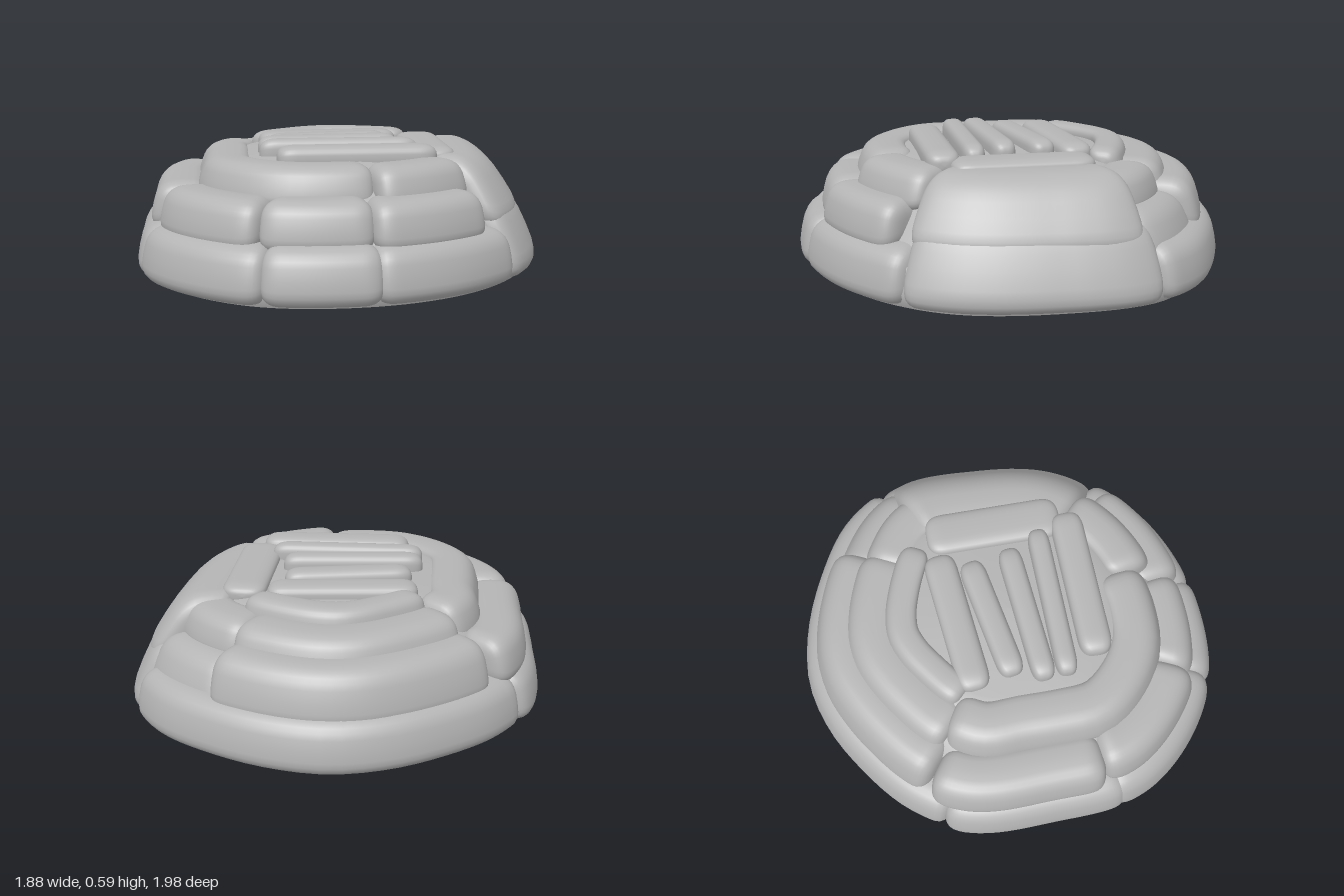
import * as THREE from 'three';

const stone = new THREE.MeshStandardMaterial({ color: 0xb4b4b4 });
stone.name = 'grey';

// Ground outline: radius every 30 degrees, from the front (+z) round by +x
const radii = [0.985, 0.94, 0.93, 0.94, 0.94, 1.03, 0.985, 0.985, 0.94, 0.95, 0.9, 0.98];
const outline = new THREE.CatmullRomCurve3(radii.map((r, i) => {
  const a = i * Math.PI / 6;
  return new THREE.Vector3(Math.sin(a) * r, 0, Math.cos(a) * r);
}), true, 'catmullrom');

// Skin a list of closed rings (arrays of [x, y, z]) into one smooth surface
function skin(rings) {
  const n = rings[0].length, index = [];
  for (let i = 0; i < rings.length - 1; i++) {
    for (let j = 0; j < n; j++) {
      const k = (j + 1) % n;
      const a = i * n + j, b = i * n + k, c = a + n, d = b + n;
      index.push(a, b, c, b, d, c);
    }
  }
  const g = new THREE.BufferGeometry();
  g.setAttribute('position', new THREE.Float32BufferAttribute(rings.flat(2), 3));
  g.setIndex(index);
  g.computeVertexNormals();
  return g;
}

// Path that follows the outline between two angles, set in from it
function arc(from, to, inset) {
  const points = [];
  for (let i = 0; i <= 8; i++) {
    const turn = (from + (to - from) * i / 8) / 360;
    const p = outline.getPoint((turn + 1) % 1);
    points.push(p.setLength(p.length() - inset));
  }
  return new THREE.CatmullRomCurve3(points);
}

// Pillow-like bag swept along a path; lean tips its top towards the middle
function bag(curve, y0, y1, width, lean) {
  const length = curve.getLength(), rows = 40, sides = 28;
  const endLength = Math.min(0.1, length * 0.3), mid = (y0 + y1) / 2, half = (y1 - y0) / 2;
  const soft = v => Math.sign(v) * Math.pow(Math.abs(v), 0.65);
  const rings = [];
  for (let i = 0; i <= rows; i++) {
    const t = (1 - Math.cos(Math.PI * i / rows)) / 2;
    const p = curve.getPointAt(t), T = curve.getTangentAt(t);
    const N = new THREE.Vector3(T.z, 0, -T.x);
    const inward = N.dot(p) > 0 ? -1 : 1;
    const d = Math.min(1, Math.min(t, 1 - t) * length / endLength);
    const f = Math.pow(Math.max(0, 1 - Math.pow(1 - d, 3)), 1 / 3);
    const ring = [];
    for (let j = 0; j < sides; j++) {
      const a = j / sides * Math.PI * 2;
      const h = soft(Math.sin(a)) * f;
      const w = soft(Math.cos(a)) * f * width / 2 + inward * lean * h / 2;
      ring.push([p.x + N.x * w, mid + h * half, p.z + N.z * w]);
    }
    rings.push(ring);
  }
  return skin(rings);
}

// Curved courses; each bag is [start angle, end angle, inset]
const courses = [
  { name: 'bottomBag', y0: 0.005, y1: 0.25, width: 0.27, lean: 0.05,
    bags: [[-42, 5, 0.14], [2, 35, 0.14], [31, 80, 0.145], [-94, -36, 0.135], [-214, -90, 0.14]] },
  { name: 'bottomLeftSlab', y0: 0.005, y1: 0.36, width: 0.3, lean: 0.16, bags: [[77, 151, 0.2]] },
  { name: 'secondBag', y0: 0.2, y1: 0.415, width: 0.23, lean: 0.05,
    bags: [[-42, 1, 0.21], [-1, 34, 0.23], [32, 73, 0.2], [-99, -41, 0.18]] },
  { name: 'secondBackBag', y0: 0.18, y1: 0.43, width: 0.23, lean: 0.07, bags: [[-188, -99, 0.2]] },
  { name: 'secondBackShelf', y0: 0.15, y1: 0.38, width: 0.25, lean: 0.1, bags: [[144, 176, 0.24]] },
  { name: 'secondLeftSlab', y0: 0.23, y1: 0.53, width: 0.27, lean: 0.2, bags: [[76, 150, 0.29]] },
  { name: 'thirdBag', y0: 0.35, y1: 0.53, width: 0.21, lean: 0.06,
    bags: [[-102, 38, 0.39], [36, 78, 0.33]] },
  { name: 'thirdBackBag', y0: 0.33, y1: 0.505, width: 0.22, lean: 0.06,
    bags: [[-189, -99, 0.35], [140, 175, 0.37]] },
  { name: 'topBackBag', y0: 0.43, y1: 0.56, width: 0.14, lean: 0.03, bags: [[-198, -101, 0.49]] },
];

// Straight bags across the top: [x, z, x, z, width, top]
const bars = [
  [0.23, -0.47, 0.51, 0.09, 0.2, 0.555],
  [-0.41, -0.03, 0.15, -0.39, 0.15, 0.57],
  [-0.3, 0.11, 0.16, -0.24, 0.12, 0.58],
  [-0.28, 0.25, 0.27, -0.09, 0.11, 0.59],
  [-0.23, 0.34, 0.4, 0.01, 0.1, 0.59],
  [-0.1, 0.44, 0.52, 0.11, 0.15, 0.58],
];

// Core levels from the ground up: [share of the outline, height]
const coreLevels = [[0.93, 0], [0.96, 0.06], [0.93, 0.17], [0.86, 0.225], [0.8, 0.3], [0.74, 0.37],
  [0.66, 0.43], [0.57, 0.485], [0.45, 0.515], [0, 0.525]];

export function createModel() {
  const group = new THREE.Group();
  group.name = 'baggedMound';
  const add = (name, geometry) => {
    const mesh = new THREE.Mesh(geometry, stone);
    mesh.name = name;
    group.add(mesh);
  };

  // Solid core filling the gaps, and its flat underside
  const edge = outline.getPoints(96).slice(0, 96);
  const level = ([s, y]) => edge.map(p => [p.x * s, y, p.z * s]);
  add('core', skin(coreLevels.map(level)));
  add('underside', skin([[0, 0], [0.93, 0]].map(level)));

  // Courses of bags laid round the mound
  for (const { name, y0, y1, width, lean, bags } of courses) {
    for (const span of bags) add(name, bag(arc(...span), y0, y1, width, lean));
  }

  // Straight bags closing the top
  for (const [xa, za, xb, zb, width, top] of bars) {
    const line = new THREE.LineCurve3(new THREE.Vector3(xa, 0, za), new THREE.Vector3(xb, 0, zb));
    add('topBar', bag(line, 0.46, top, width, 0));
  }
  return group;
}
